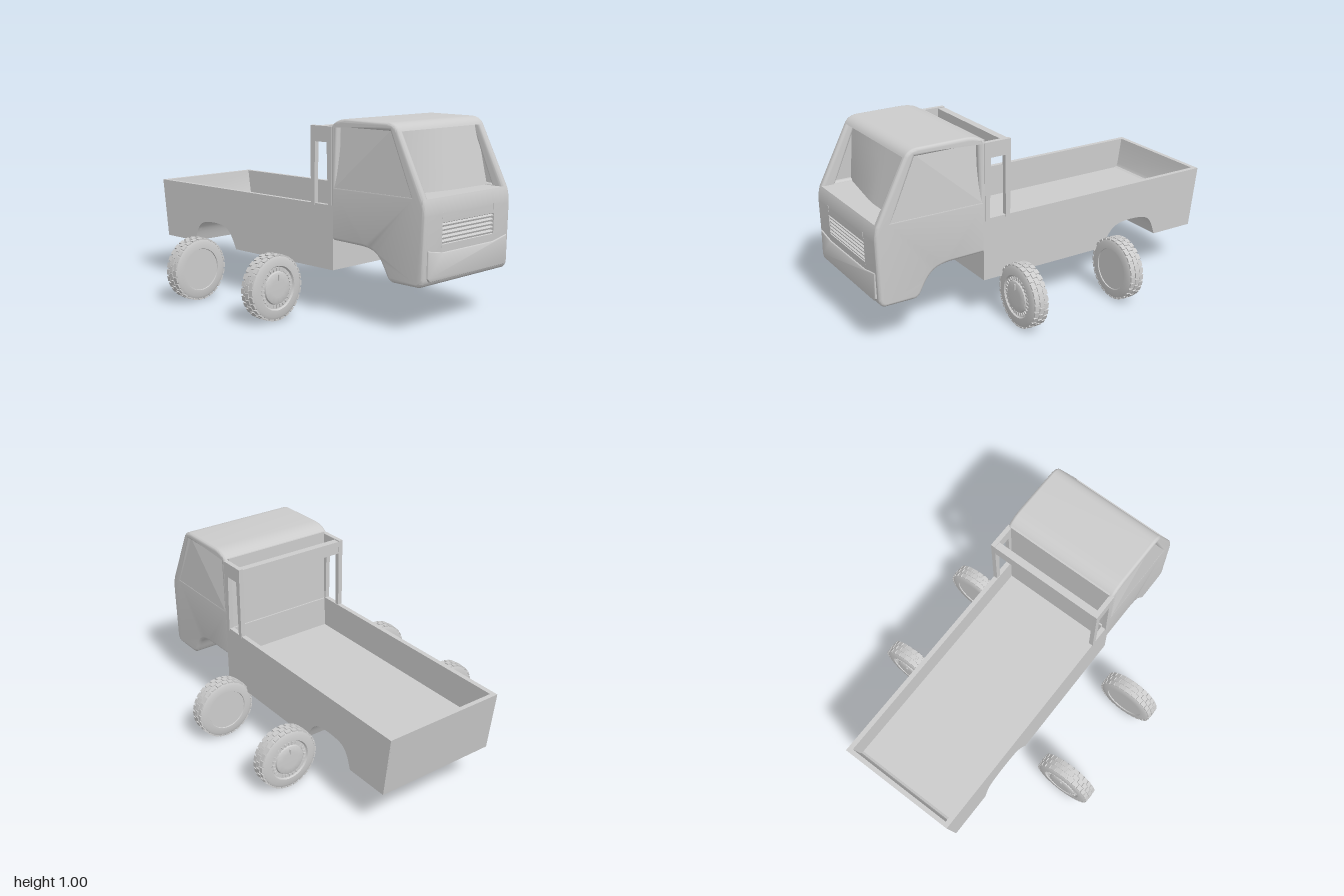
import * as THREE from 'three';
import { toCreasedNormals } from 'three/addons/utils/BufferGeometryUtils.js';

const grey = new THREE.MeshStandardMaterial({ color: 0xcccccc });
const thin = new THREE.MeshStandardMaterial({ color: 0xcccccc, side: THREE.DoubleSide });
const HALF = 0.338; // half width of the body

function add(parent, name, geometry, x = 0, y = 0, z = 0, material = grey) {
  const mesh = new THREE.Mesh(geometry, material);
  mesh.name = name;
  mesh.position.set(x, y, z);
  parent.add(mesh);
  return mesh;
}

const box = (w, h, d) => new THREE.BoxGeometry(w, h, d);

// Extrusion centred on z, with an optional rounded edge that keeps the outline size
function slab(shape, width, bevel = 0) {
  const g = new THREE.ExtrudeGeometry(shape, {
    depth: width - 2 * bevel, curveSegments: 10, bevelEnabled: bevel > 0,
    bevelSize: bevel, bevelThickness: bevel, bevelOffset: -bevel, bevelSegments: 4,
  });
  g.translate(0, 0, -(width - 2 * bevel) / 2);
  return toCreasedNormals(g, 0.6);
}

const polygon = (points) => new THREE.Shape(points.map((p) => new THREE.Vector2(...p)));

// Bed side outline with wheel arch, up to a given height
function bedShape(top) {
  const s = new THREE.Shape();
  s.moveTo(-0.955 - 0.045 * (top - 0.23) / 0.33, top);
  s.lineTo(-0.955, 0.23);
  s.lineTo(-0.7, 0.23);
  s.bezierCurveTo(-0.67, 0.33, -0.66, 0.355, -0.53, 0.357);
  s.bezierCurveTo(-0.41, 0.357, -0.39, 0.33, -0.34, 0.23);
  s.lineTo(0.41, 0.23);
  s.lineTo(0.41, top);
  return s;
}

// Underside and nose of the cab up to the windscreen sill, with an optional grille recess
function cabLower(recessed = false) {
  const s = new THREE.Shape();
  s.moveTo(0.39, 0.385);
  s.lineTo(0.6, 0.38);
  s.bezierCurveTo(0.7, 0.375, 0.72, 0.34, 0.765, 0.255);
  s.quadraticCurveTo(0.78, 0.23, 0.81, 0.23);
  s.lineTo(0.95, 0.23);
  s.quadraticCurveTo(0.985, 0.23, 0.99, 0.27);
  if (recessed) {
    for (const [x, y] of [[0.994, 0.425], [0.975, 0.43], [0.975, 0.522], [0.996, 0.53]]) s.lineTo(x, y);
  }
  s.lineTo(0.997, 0.56);
  s.quadraticCurveTo(0.998, 0.61, 0.984, 0.65);
  return s;
}

function cabRoofLine(s) {
  s.lineTo(0.828, 0.955);
  s.quadraticCurveTo(0.81, 0.992, 0.76, 0.995);
  s.lineTo(0.5, 0.997);
  s.quadraticCurveTo(0.42, 0.995, 0.39, 0.955);
  return s;
}

function buildBed() {
  const bed = new THREE.Group();
  bed.name = 'cargoBed';
  add(bed, 'bedFloor', slab(bedShape(0.385), 2 * HALF - 0.01));
  for (const side of [1, -1]) {
    add(bed, 'bedSide', slab(bedShape(0.56), 0.026), 0, 0, side * (HALF - 0.013));
  }
  // Tailgate with a filleted foot
  add(bed, 'tailgate', slab(polygon([[-1, 0.56], [-0.977, 0.385], [-0.93, 0.385], [-0.943, 0.392],
    [-0.951, 0.408], [-0.975, 0.56]]), 2 * HALF - 0.01));
  add(bed, 'bedFrontWall', box(0.03, 0.32, 2 * HALF - 0.01), 0.394, 0.395, 0);
  return bed;
}

function buildRollFrame() {
  const frame = new THREE.Group();
  frame.name = 'rearFrame';
  const side = polygon([[0.255, 0.55], [0.28, 0.55], [0.283, 0.875], [0.365, 0.875],
    [0.375, 0.55], [0.4, 0.55], [0.4, 0.955], [0.25, 0.955]]);
  for (const s of [1, -1]) add(frame, 'frameSide', slab(side, 0.025), 0, 0, s * (HALF - 0.01));
  add(frame, 'frameBeam', box(0.04, 0.07, 2 * HALF), 0.271, 0.915, 0);
  return frame;
}

function buildCab() {
  const cab = new THREE.Group();
  cab.name = 'cab';

  // Sides with window openings
  const sideShape = cabRoofLine(cabLower());
  sideShape.holes.push(new THREE.Path([[0.425, 0.66], [0.432, 0.955], [0.775, 0.955], [0.905, 0.66]]
    .map((p) => new THREE.Vector2(...p))));
  for (const s of [1, -1]) add(cab, 'cabSide', slab(sideShape, 0.04, 0.016), 0, 0, s * (HALF - 0.02));

  // Middle parts between the sides; the nose is recessed only behind the grille
  const middle = cabLower(true);
  middle.lineTo(0.39, 0.65);
  add(cab, 'cabLowerMiddle', slab(middle, 0.41));
  const outer = cabLower();
  outer.lineTo(0.39, 0.65);
  for (const s of [1, -1]) add(cab, 'cabLowerOuter', slab(outer, 0.113), 0, 0, s * 0.2615);
  const roof = new THREE.Shape();
  roof.moveTo(0.39, 0.955);
  add(cab, 'roof', slab(cabRoofLine(roof), 2 * HALF - 0.04));
  add(cab, 'cabRearWall', box(0.02, 0.415, 2 * HALF - 0.04), 0.398, 0.757, 0);

  // Side windows, flush at the bottom, folded along the diagonal and sunk under the roof
  for (const s of [1, -1]) {
    const a = [0.409, 0.644, s * 0.337], b = [0.922, 0.644, s * 0.337];
    const c = [0.785, 0.97, s * 0.322], d = [0.412, 0.97, s * 0.288];
    const g = new THREE.BufferGeometry();
    const corners = s > 0 ? [a, b, c, a, c, d] : [a, c, b, a, d, c];
    g.setAttribute('position', new THREE.Float32BufferAttribute(corners.flat(), 3));
    g.computeVertexNormals();
    add(cab, 'sideWindow', g, 0, 0, 0, thin);
  }

  // Windscreen, set back behind a deep sill and deeper towards the left
  const glass = new THREE.PlaneGeometry(2, 1, 12, 4);
  const p = glass.attributes.position;
  for (let i = 0; i < p.count; i++) {
    const u = p.getX(i), v = p.getY(i) + 0.5;
    const foot = 0.87 - 0.05 * Math.max(0, 0.1 - u);
    p.setXYZ(i, THREE.MathUtils.lerp(foot, 0.795, v), 0.645 + 0.315 * v, -u * 0.315);
  }
  glass.computeVertexNormals();
  add(cab, 'windscreen', glass, 0, 0, 0, thin);

  // Nose: lower panel, tilted grille slats and small marker bars
  const panel = polygon([[-0.312, 0.275], [-0.295, 0.258], [0.295, 0.258], [0.312, 0.275],
    [0.312, 0.408], [0.2, 0.388], [-0.2, 0.388], [-0.312, 0.408]]);
  const bumper = slab(panel, 0.03, 0.005);
  bumper.rotateY(Math.PI / 2);
  add(cab, 'lowerFrontPanel', bumper, 0.985, 0, 0);
  for (let i = 0; i < 5; i++) {
    add(cab, 'grilleSlat', box(0.02, 0.01, 0.41), 0.983, 0.437 + i * 0.02, 0).rotation.z = -0.4;
  }
  for (const s of [1, -1]) add(cab, 'markerBar', box(0.012, 0.032, 0.008), 0.993, 0.564, s * 0.202);
  return cab;
}

// Wheel whose detailed face looks along +x
function buildWheel() {
  const wheel = new THREE.Group();
  wheel.name = 'wheel';
  const axle = new THREE.Group();
  axle.name = 'wheelParts';
  axle.rotation.z = -Math.PI / 2;
  wheel.add(axle);

  const profile = [[0, -0.04], [0.11, -0.04], [0.112, -0.045], [0.145, -0.044], [0.158, -0.038], [0.163, -0.02],
    [0.163, 0.02], [0.158, 0.038], [0.145, 0.044], [0.112, 0.045], [0.106, 0.036], [0.084, 0.036],
    [0.08, 0.045], [0.07, 0.049], [0.045, 0.05], [0, 0.05]].map((q) => new THREE.Vector2(...q));
  add(axle, 'tyreAndRim', toCreasedNormals(new THREE.LatheGeometry(profile, 48), 0.5));

  // Staggered tread blocks and teeth round the rim
  const block = box(0.008, 0.024, 0.027), tooth = box(0.016, 0.008, 0.008);
  const around = (name, geometry, r, y, angle) => {
    const m = add(axle, name, geometry, r * Math.cos(angle), y, -r * Math.sin(angle));
    m.rotation.y = angle;
  };
  const count = 28, step = 2 * Math.PI / count;
  for (let i = 0; i < count; i++) {
    for (let row = -1; row <= 1; row++) {
      around('treadBlock', block, row ? 0.162 : 0.164, row * 0.027, (i + (row ? 0 : 0.5)) * step);
    }
    around('rimTooth', tooth, 0.094, 0.038, i * step);
  }
  add(axle, 'valve', box(0.03, 0.012, 0.008), -0.055, 0.05, 0);
  return wheel;
}

export function createModel() {
  const model = new THREE.Group();
  model.name = 'truck';
  const body = new THREE.Group();
  body.name = 'body';
  body.position.z = -0.073;
  body.add(buildBed(), buildRollFrame(), buildCab());
  model.add(body);

  // Four loose wheels, detailed faces pointing outwards along x
  for (const [x, turn] of [[0.262, 0], [-0.338, Math.PI]]) {
    for (const z of [0.548, -0.548]) {
      const wheel = buildWheel();
      wheel.position.set(x, 0.168, z);
      wheel.rotation.y = turn;
      model.add(wheel);
    }
  }
  return model;
}
